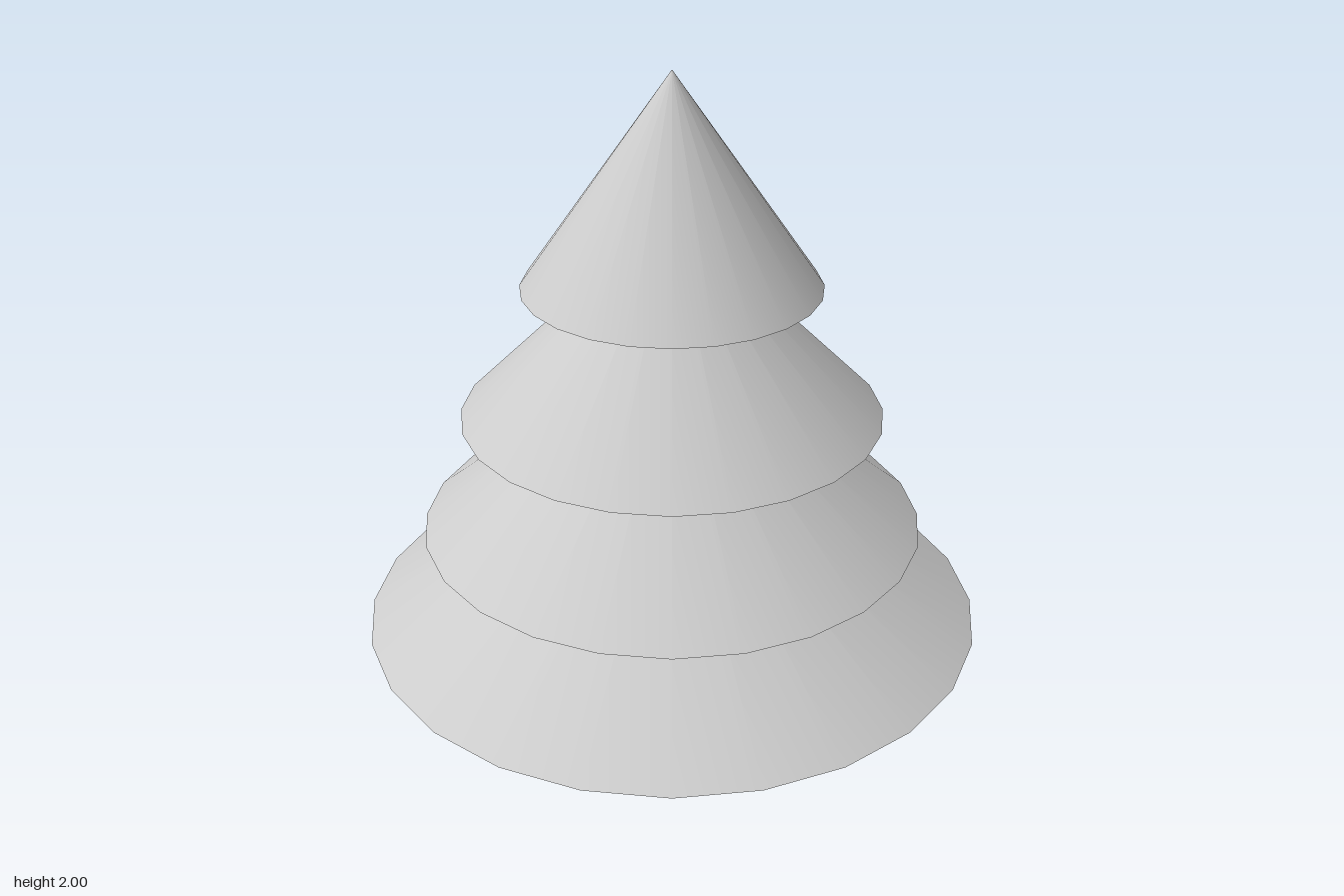
import * as THREE from 'three';
import { mergeVertices } from 'three/addons/utils/BufferGeometryUtils.js';

const material = new THREE.MeshStandardMaterial({ color: 0xcccccc });

// Trunk: a fluted cylinder whose ridges run from the ground into the lowest tier
function fluted(radius, groove, height, ridges) {
  const geo = new THREE.CylinderGeometry(radius, radius, height, ridges * 2, 12);
  geo.translate(0, height / 2, 0);
  const p = geo.attributes.position;
  for (let i = 0; i < p.count; i++) {
    const x = p.getX(i), z = p.getZ(i);
    if (Math.hypot(x, z) < 1e-4) continue;
    const step = Math.round(Math.atan2(x, z) / (Math.PI / ridges));
    const s = step % 2 === 0 ? 1 : groove;
    p.setX(i, x * s);
    p.setZ(i, z * s);
  }
  // weld so that the shading rolls softly round the foot
  geo.deleteAttribute('uv');
  geo.deleteAttribute('normal');
  const welded = mergeVertices(geo, 1e-4);
  welded.computeVertexNormals();
  return welded;
}

export function createModel() {
  const group = new THREE.Group();
  group.name = 'tree';

  const add = (name, geometry, y) => {
    const mesh = new THREE.Mesh(geometry, material);
    mesh.name = name;
    mesh.position.y = y;
    group.add(mesh);
  };

  add('trunk', fluted(0.12, 0.93, 0.4, 20), 0);

  // Foliage: equally tall cones, narrower towards the top: [radius, base height]
  const height = 0.6;
  const tiers = [[0.905, 0.367], [0.725, 0.668], [0.602, 1.018], [0.42, 1.4]];
  tiers.forEach(([radius, base], i) => {
    add(`foliageTier${i + 1}`, new THREE.ConeGeometry(radius, height, 24), base + height / 2);
  });

  return group;
}
